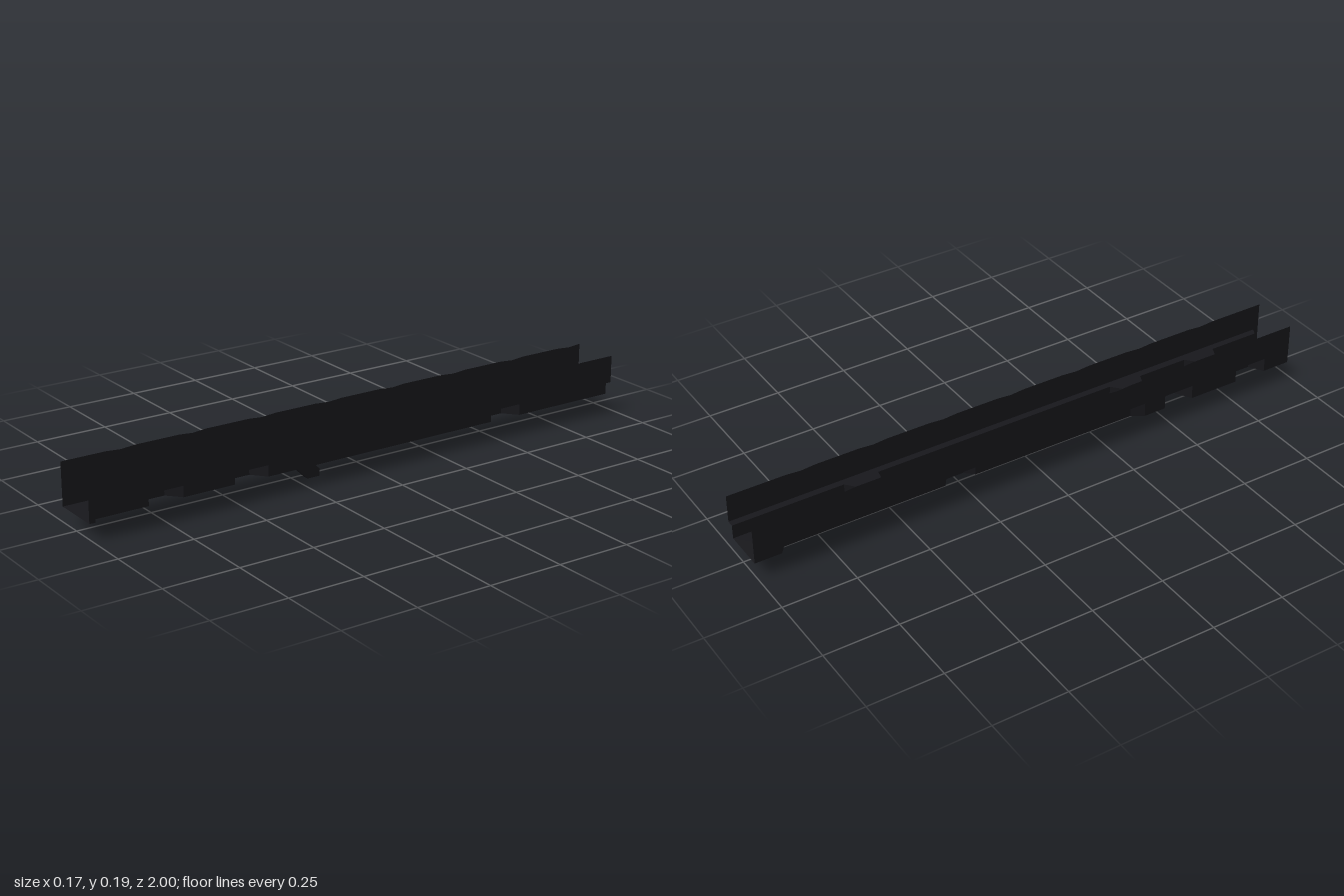
import * as THREE from 'three';

const HALF = 0.083, FLOOR = 0.05, LEDGE = 0.098, TOP = 0.192;

// Edges of the sunken channel as [z, x], from front to back
const leftEdge = [ // model's left, +x
  [1, 0.083], [0.98, 0.083], [0.97, 0.06], [0.79, 0.06], [0.77, 0.0125], [0.71, 0.0125],
  [0.67, 0.058], [0.49, 0.058], [0.47, 0.0125], [0.41, 0.0125], [0.37, 0.06],
  [-0.5, 0.06], [-0.51, 0.0125], [-0.58, 0.0125], [-0.62, 0.06], [-1, 0.06],
];
const rightEdge = [ // model's right, -x
  [1, -0.083], [0.9, -0.083], [0.87, -0.035], [0.8, -0.035], [0.78, -0.083], [0.6, -0.083],
  [0.56, -0.012], [0.51, -0.012], [0.49, -0.083], [0.41, -0.083], [0.37, -0.058],
  [-0.22, -0.058], [-0.25, -0.03], [-0.31, -0.03], [-0.33, -0.058], [-0.89, -0.058],
  [-0.91, -0.083], [-1, -0.083],
];

const material = new THREE.MeshStandardMaterial({ color: 0x17171b, side: THREE.DoubleSide });

export function createModel() {
  const model = new THREE.Group();

  function add(name, geometry) {
    const mesh = new THREE.Mesh(geometry, material);
    mesh.name = name;
    model.add(mesh);
    return mesh;
  }

  // Flat-faced strip between two paths of equal length
  function strip(a, b) {
    const pos = [];
    for (let i = 0; i < a.length - 1; i++) {
      pos.push(...a[i], ...b[i], ...a[i + 1], ...a[i + 1], ...b[i], ...b[i + 1]);
    }
    const g = new THREE.BufferGeometry();
    g.setAttribute('position', new THREE.Float32BufferAttribute(pos, 3));
    g.computeVertexNormals();
    return g;
  }

  const shapeOf = (pts) => new THREE.Shape(pts.map(([u, v]) => new THREE.Vector2(u, v)));
  const at = (edge, y) => edge.map(([z, x]) => [x, y, z]);

  // Channel floor with the drain opening
  const floor = shapeOf([...leftEdge, ...[...rightEdge].reverse()].map(([z, x]) => [x, -z]));
  floor.holes.push(new THREE.Path(
    [[0.0125, -0.26], [0.035, -0.26], [0.035, -0.19], [0.0125, -0.19]]
      .map(([x, y]) => new THREE.Vector2(x, y))));
  add('channelFloor', new THREE.ShapeGeometry(floor).rotateX(-Math.PI / 2).translate(0, FLOOR, 0));

  // Each side: riser, ledge and tall wall with a slightly worn top
  for (const [side, edge, s] of [['left', leftEdge, 1], ['right', rightEdge, -1]]) {
    add(side + 'Riser', strip(at(edge, FLOOR), at(edge, LEDGE)));
    add(side + 'Ledge', strip(at(edge, LEDGE), edge.map(([z]) => [s * HALF, LEDGE, z])));
    const rim = [];
    for (let i = 0; i <= 40; i++) {
      const worn = i > 0 && i < 40 && (i * 7 + (s > 0 ? 0 : 2)) % 5 === 0;
      rim.push([s * HALF, worn ? TOP - 0.004 : TOP, 1 - i / 20]);
    }
    add(side + 'Wall', strip(rim, rim.map(([x, , z]) => [x, LEDGE, z])));
  }

  // Low notched weir across the channel
  add('weir', new THREE.ShapeGeometry(shapeOf([
    [-0.058, FLOOR], [0.058, FLOOR], [0.058, 0.072], [0.012, 0.072],
    [0, 0.06], [-0.012, 0.072], [-0.058, 0.072],
  ]))).position.z = -0.1;

  // Slanted square chute under the drain, open at both ends
  const chute = [[0.26, 0.05], [0.21, 0], [0.166, 0], [0.166, 0.025], [0.19, 0.05]];
  for (const x of [0.0125, 0.035]) {
    const cheek = new THREE.ShapeGeometry(shapeOf(chute.map(([z, y]) => [-z, y])));
    add('chuteCheek', cheek.rotateY(Math.PI / 2).translate(x, 0, 0));
  }
  for (const [i, j, name] of [[0, 1, 'chuteFront'], [3, 4, 'chuteBack']]) {
    const line = (x) => [chute[i], chute[j]].map(([z, y]) => [x, y, z]);
    add(name, strip(line(0.0125), line(0.035)));
  }

  return model;
}
